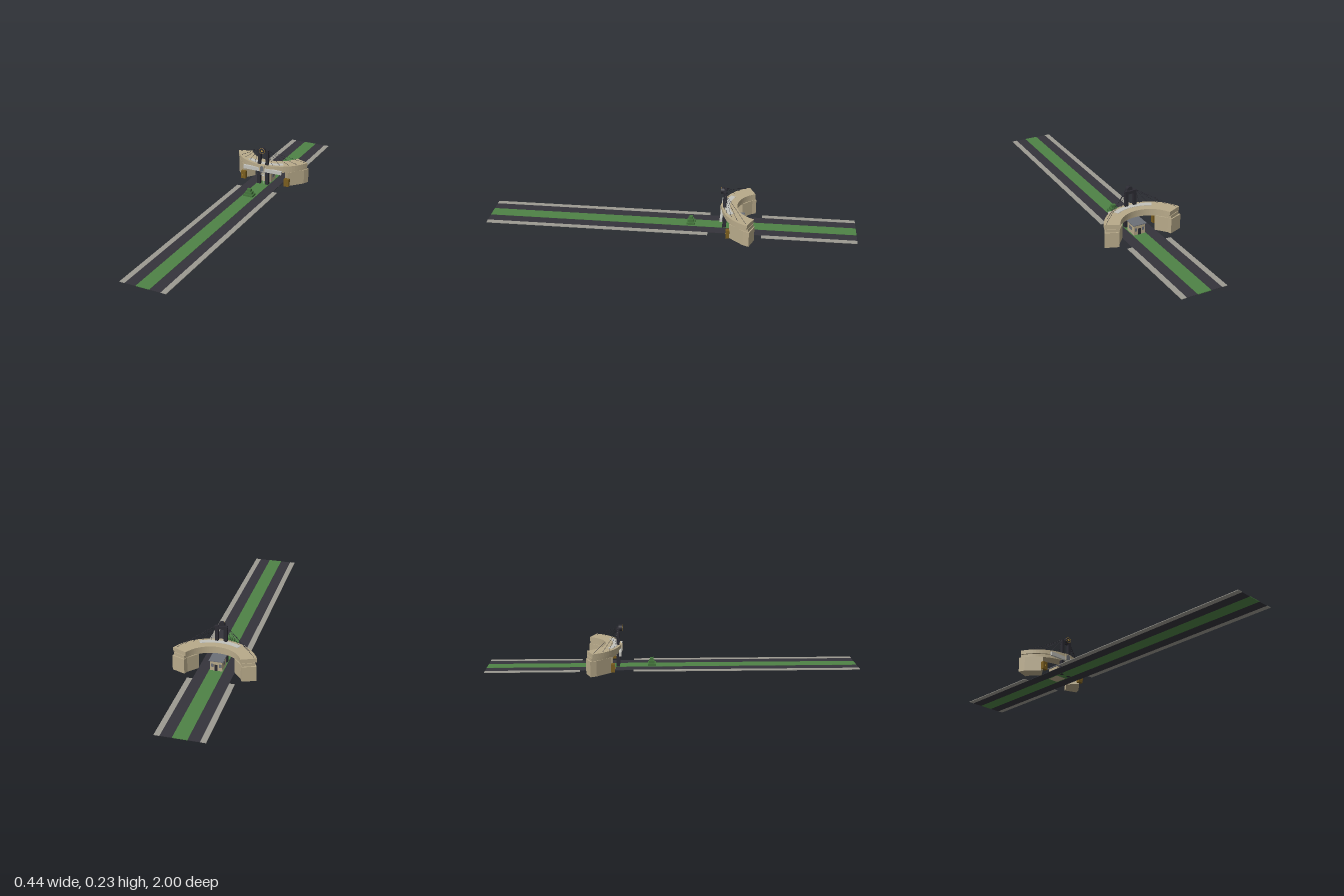
import * as THREE from 'three';

const mat = (name, color, side = THREE.FrontSide) => {
  const m = new THREE.MeshStandardMaterial({ color, side });
  m.name = name;
  return m;
};

export function createModel() {
  const stone = mat('sandstone', 0xb8aa8a);
  const asphalt = mat('asphalt', 0x35343b);
  const grass = mat('grass', 0x4f8346);
  const hedge = mat('hedge', 0x44753c);
  const paving = mat('paving', 0x9c9a92);
  const glass = mat('pale glass', 0xc2c2bc);
  const gold = mat('gold', 0xb8913c);
  const wood = mat('wood', 0x7a5d1e);
  const slate = mat('slate', 0x6c7078);
  const iron = mat('dark iron', 0x2c2b33);

  const model = new THREE.Group();
  const add = (name, geo, material, x = 0, y = 0, z = 0, parent = model) => {
    const m = new THREE.Mesh(geo, material);
    m.name = name;
    m.position.set(x, y, z);
    parent.add(m);
    return m;
  };
  // Box given by its extents on each axis
  const box = (name, material, x0, x1, y0, y1, z0, z1) =>
    add(name, new THREE.BoxGeometry(x1 - x0, y1 - y0, z1 - z0), material,
      (x0 + x1) / 2, (y0 + y1) / 2, (z0 + z1) / 2);

  // Curved plan shared by the building: arc centre at z = ZC, angles from +z
  const ZC = -0.515;
  const polar = (r, deg) => {
    const a = THREE.MathUtils.degToRad(deg);
    return [r * Math.sin(a), ZC + r * Math.cos(a)];
  };
  const arcBlock = (name, material, r0, r1, angles, y0, y1) => {
    const pts = [
      ...angles.map(a => polar(r1, a)),
      ...[...angles].reverse().map(a => polar(r0, a)),
    ].map(([x, z]) => new THREE.Vector2(x, -z));
    const geo = new THREE.ExtrudeGeometry(new THREE.Shape(pts), { depth: y1 - y0, bevelEnabled: false });
    geo.rotateX(-Math.PI / 2);
    return add(name, geo, material, 0, y0, 0);
  };
  const span = (a, b, n) => Array.from({ length: n + 1 }, (_, i) => a + (b - a) * i / n);
  const rod = (name, material, a, b, r) => {
    const va = new THREE.Vector3(...a), vb = new THREE.Vector3(...b);
    const d = vb.clone().sub(va);
    const m = add(name, new THREE.CylinderGeometry(r, r, d.length(), 5), material);
    m.position.copy(va).addScaledVector(d, 0.5);
    m.quaternion.setFromUnitVectors(new THREE.Vector3(0, 1, 0), d.normalize());
  };

  // Avenue: green median, two carriageways, broken pavements
  box('median', grass, -0.037, 0.037, 0, 0.003, -1, 1);
  for (const s of [-1, 1]) {
    const strip = (name, m, a, b, y, z0, z1) =>
      box(name, m, Math.min(s * a, s * b), Math.max(s * a, s * b), 0, y, z0, z1);
    strip('carriageway', asphalt, 0.037, 0.096, 0.002, -1, 1);
    strip('pavementBack', paving, 0.096, 0.125, 0.003, -1, -0.495);
    strip('pavementFront', paving, 0.096, 0.125, 0.003, -0.21, 1);
  }

  // Crescent gateway: stepped ring carried on two piers
  arcBlock('lowerRing', stone, 0.162, 0.229, span(-67.5, 67.5, 32), 0.082, 0.1);
  arcBlock('upperRing', stone, 0.155, 0.238, span(-66.5, 66.5, 32), 0.1, 0.123);
  arcBlock('roofLight', glass, 0.195, 0.222, span(-30, 30, 16), 0.123, 0.1245);
  for (const s of [-1, 1]) {
    const angles = [36, 61, 69.5].map(a => a * s);
    arcBlock('pier', stone, 0.16, 0.235, angles, 0, 0.083);

    // Double door standing before the pier
    const door = new THREE.Group();
    door.name = 'door';
    door.position.set(s * 0.135, 0.025, -0.318);
    model.add(door);
    add('doorCase', new THREE.BoxGeometry(0.03, 0.044, 0.02), wood, 0, 0, 0, door);
    for (const t of [-1, 1]) {
      add('doorHandle', new THREE.BoxGeometry(0.0012, 0.008, 0.002), gold, t * 0.002, 0, 0.0105, door);
    }
  }

  // Straight glazed gallery across the front
  box('gallery', glass, -0.118, 0.118, 0.083, 0.104, -0.287, -0.274);
  box('nicheSurround', stone, -0.016, 0.016, 0.086, 0.122, -0.28, -0.271);
  const arch = new THREE.Shape();
  arch.moveTo(-0.011, 0);
  arch.lineTo(0.011, 0);
  arch.lineTo(0.011, 0.02);
  arch.absarc(0, 0.02, 0.011, 0, Math.PI, false);
  add('niche', new THREE.ExtrudeGeometry(arch, { depth: 0.002, bevelEnabled: false }), slate, 0, 0.087, -0.271);

  // Twin masts with a round dial between their heads
  for (const s of [-1, 1]) {
    box('mast', iron, s * 0.0235 - 0.0085, s * 0.0235 + 0.0085, 0, 0.21, -0.302, -0.285);
    box('mastBase', iron, s * 0.0245 - 0.0095, s * 0.0245 + 0.0095, 0, 0.083, -0.303, -0.284);
    // Stay cables fanning to the roof
    for (const a of [14, 25, 38, 50, 64]) {
      const [x, z] = polar(0.226, a * s);
      rod('cable', iron, [s * 0.03, 0.208, -0.293], [x, 0.123, z], 0.0008);
    }
  }
  box('mastCrossbar', iron, -0.016, 0.016, 0.191, 0.207, -0.3, -0.287);
  const disc = (name, r, depth, m, z) =>
    add(name, new THREE.CylinderGeometry(r, r, depth, 24).rotateX(Math.PI / 2), m, 0, 0.21, z);
  disc('dialBody', 0.0165, 0.018, iron, -0.28);
  disc('dialHub', 0.006, 0.002, gold, -0.2705);
  add('dialRim', new THREE.TorusGeometry(0.0155, 0.0012, 6, 28), gold, 0, 0.21, -0.271);

  // Gatehouse under the ring
  box('gatehouse', stone, -0.032, 0.032, 0, 0.058, -0.395, -0.325);
  box('gatehouseRoof', slate, -0.038, 0.038, 0.058, 0.062, -0.401, -0.319);
  box('gatehouseDoor', iron, -0.008, 0.008, 0.003, 0.038, -0.397, -0.395);
  for (const s of [-1, 1]) {
    box('gatehouseWindow', slate, s * 0.021 - 0.006, s * 0.021 + 0.006, 0.024, 0.042, -0.3965, -0.395);
    box('sideWindow', slate, s * 0.0325 - 0.001, s * 0.0325 + 0.001, 0.024, 0.042, -0.375, -0.345);
  }

  // Open wire globe on a stem between the masts
  const globe = new THREE.Group();
  globe.name = 'wireGlobe';
  globe.position.set(0, 0.066, -0.294);
  model.add(globe);
  for (let i = 0; i < 5; i++) {
    add('meridian', new THREE.TorusGeometry(0.016, 0.0005, 4, 24), glass, 0, 0, 0, globe).rotation.y = i * Math.PI / 5;
  }
  for (const lat of [-0.9, -0.45, 0, 0.45, 0.9]) {
    add('parallel', new THREE.TorusGeometry(0.016 * Math.cos(lat), 0.0005, 4, 24), glass,
      0, 0.016 * Math.sin(lat), 0, globe).rotation.x = Math.PI / 2;
  }
  rod('globeStem', glass, [0, 0.002, -0.294], [0, 0.05, -0.294], 0.002);

  // Stepped hedge on the median
  [[0.028, 0.022, 0.003, 0.014], [0.019, 0.015, 0.014, 0.028], [0.012, 0.009, 0.028, 0.043]]
    .forEach(([w, d, y0, y1]) => box('hedgeTier', hedge, -w, w, y0, y1, -0.112 - d, -0.112 + d));

  return model;
}
